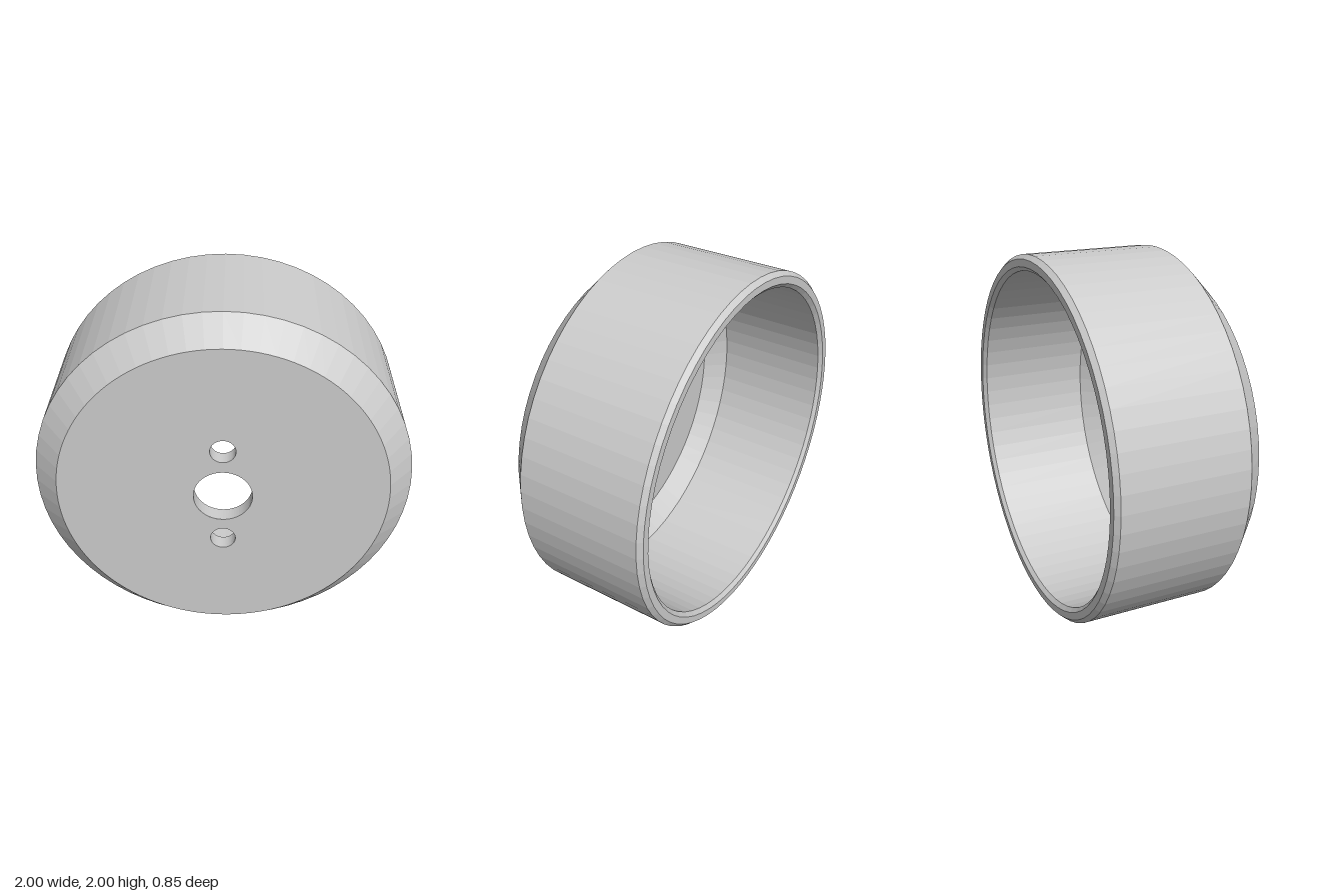
import * as THREE from 'three';

const SEGMENTS = 64;
const FRONT = 0.425, FLOOR = 0.34;   // outer and inner face of the end plate

export function createModel() {
  const group = new THREE.Group();
  const material = new THREE.MeshStandardMaterial({ color: 0xcccccc, flatShading: true });

  const add = (name, geometry, x = 0, y = 1, z = 0) => {
    const mesh = new THREE.Mesh(geometry, material);
    mesh.name = name;
    mesh.position.set(x, y, z);
    group.add(mesh);
    return mesh;
  };

  // Revolve [radius, z] points around the z axis
  const revolve = (points, segments = SEGMENTS) =>
    new THREE.LatheGeometry(points.map(([r, z]) => new THREE.Vector2(r, z)), segments).rotateX(Math.PI / 2);

  // Cup wall: inside bevel, bore, chamfered rim, outside, front bevel
  add('cupWall', revolve([
    [0.81, FLOOR], [0.915, 0.235], [0.915, -0.405], [0.937, -0.425],
    [0.977, -0.425], [1, -0.4], [1, 0.295], [0.87, FRONT],
  ]));

  // Holes through the end plate: [y offset, radius]
  const holes = [[0, 0.155], [0.285, 0.067], [-0.285, 0.067]];

  const plateFace = (radius) => {
    const shape = new THREE.Shape().absarc(0, 0, radius, 0, Math.PI * 2);
    for (const [y, r] of holes) {
      shape.holes.push(new THREE.Path().absarc(0, y, r, 0, Math.PI * 2, true));
    }
    return new THREE.ShapeGeometry(shape, SEGMENTS);
  };

  // End plate: front face and inner floor
  add('frontFace', plateFace(0.87), 0, 1, FRONT);
  add('innerFloor', plateFace(0.81), 0, 1, FLOOR).rotation.y = Math.PI;

  // Hole walls, facing inward
  for (const [y, r] of holes) {
    add(y === 0 ? 'centreHoleWall' : 'screwHoleWall', revolve([[r, FRONT], [r, FLOOR]]), 0, 1 + y);
  }

  return group;
}
